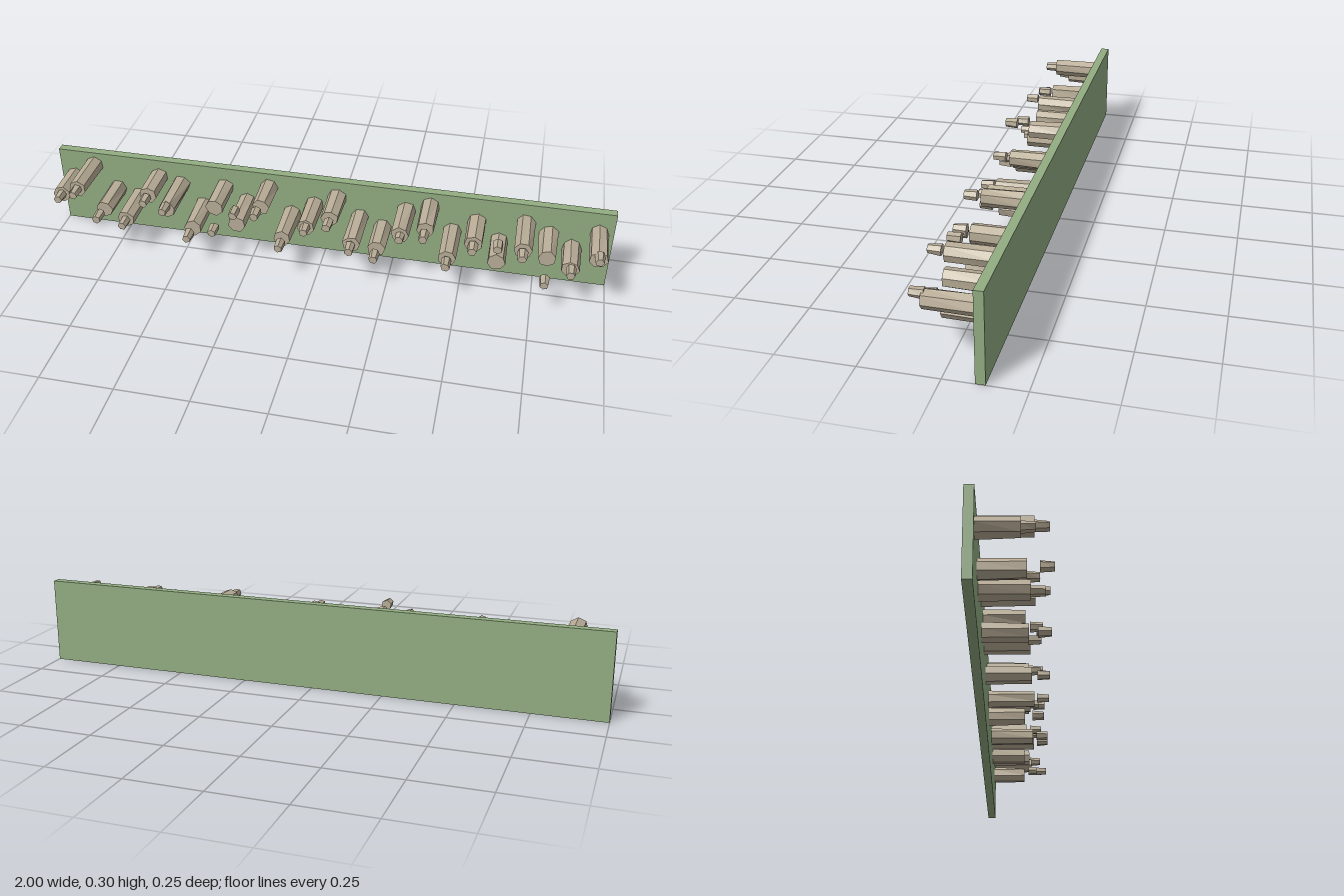
import * as THREE from 'three';

const BACK = -0.127, FACE = -0.097;

// One row per peg, left edge to right edge: [peg y, peg end z, tip y, tip end z]
const PEGS = [
  [0.19, 0.03, 0.193, 0.07], [0.25, 0.067, 0.25, 0.11], [0.158, 0.045, 0.168, 0.125], [0.137, 0.057, 0.135, 0.1],
  [0.233, 0.03, 0.233, 0.085], [0.212, 0.07, 0.232, 0.117], [0.13, 0.05, 0.132, 0.122], [0.223, 0.04, 0.147, 0.09],
  [0.174, 0.055, 0.238, 0.097], [0.243, 0.03, 0.262, 0.12], [0.142, 0.06, 0.142, 0.122], [0.196, 0.05, 0.2, 0.09],
  [0.238, 0.04, 0.24, 0.1], [0.163, 0.07, 0.168, 0.122], [0.13, 0.035, 0.135, 0.105], [0.217, 0.055, 0.217, 0.085],
  [0.249, 0.05, 0.25, 0.11], [0.153, 0.065, 0.157, 0.122], [0.206, 0.04, 0.216, 0.097], [0.137, 0.03, 0.233, 0.09],
  [0.228, 0.07, 0.233, 0.125], [0.193, 0.05, 0.133, 0.12], [0.147, 0.03, 0.165, 0.09], [0.222, 0.06, 0.24, 0.097],
];

// Seeded random numbers
function makeRandom(seed) {
  return () => {
    seed = (seed * 16807) % 2147483647;
    return seed / 2147483647;
  };
}

// Faceted, slightly uneven stub running forward along z
function stubGeometry(rEnd, rBase, length, sides, random) {
  const geo = new THREE.CylinderGeometry(rEnd, rBase, length, sides, 1);
  const spin = random() * Math.PI * 2;
  const wobble = Array.from({ length: sides * 2 }, () => 0.92 + random() * 0.16);
  const pos = geo.attributes.position;
  for (let i = 0; i < pos.count; i++) {
    const x = pos.getX(i), z = pos.getZ(i);
    if (Math.hypot(x, z) < 1e-6) continue;
    const step = Math.round((Math.atan2(x, z) / (Math.PI * 2)) * sides);
    const k = wobble[((step + sides) % sides) + (pos.getY(i) > 0 ? sides : 0)];
    pos.setX(i, x * k);
    pos.setZ(i, z * k);
  }
  geo.rotateY(spin);
  geo.rotateX(Math.PI / 2);
  const flat = geo.toNonIndexed();
  flat.computeVertexNormals();
  return flat;
}

export function createModel() {
  const group = new THREE.Group();
  const random = makeRandom(4711);
  const green = new THREE.MeshStandardMaterial({ color: 0x93ad82 });
  green.name = 'sage green';
  const stone = new THREE.MeshStandardMaterial({ color: 0xbaae98 });
  stone.name = 'stone beige';

  // Backing board
  const board = new THREE.Mesh(new THREE.BoxGeometry(2, 0.3, FACE - BACK), green);
  board.name = 'board';
  board.position.set(0, 0.15, (FACE + BACK) / 2);
  group.add(board);

  // Row of pegs, each with a small tip in front
  PEGS.forEach(([y, end, tipY, tipEnd], i) => {
    const x = -0.95 + (i * 1.9) / (PEGS.length - 1);
    const length = end - FACE;
    const peg = new THREE.Mesh(stubGeometry(0.031, 0.033, length, 7, random), stone);
    peg.name = 'peg';
    peg.position.set(x, y, FACE + length / 2);
    group.add(peg);

    const tip = new THREE.Mesh(stubGeometry(0.015, 0.018, 0.043, 6, random), stone);
    tip.name = 'pegTip';
    tip.position.set(x, tipY, tipEnd - 0.0215);
    group.add(tip);
  });
  return group;
}
